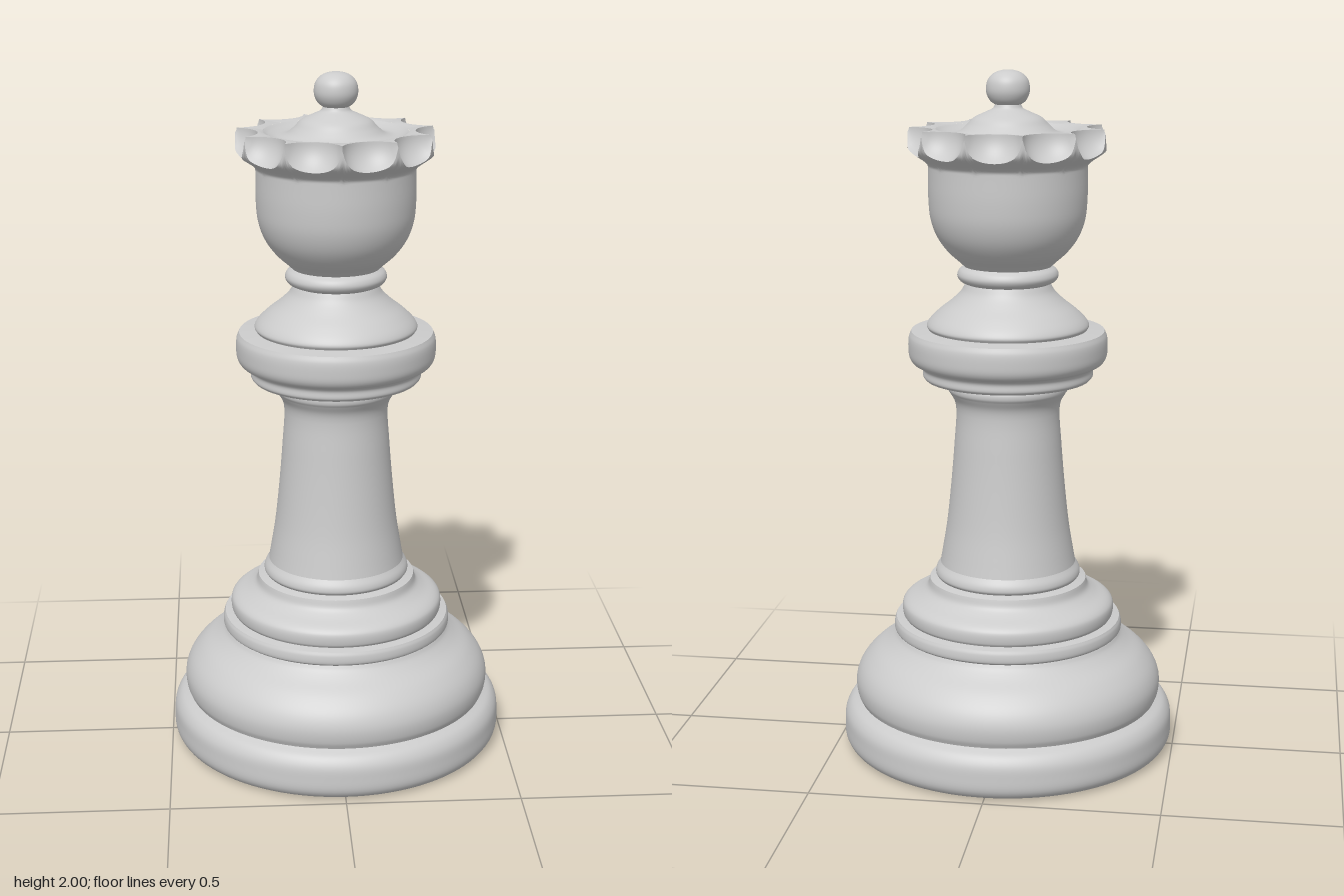
import * as THREE from 'three';
import { mergeGeometries, mergeVertices } from 'three/addons/utils/BufferGeometryUtils.js';

const material = new THREE.MeshStandardMaterial({ color: 0xcccccc });
const POINTS = 11;                     // crown points, one facing +z
const STEP = (Math.PI * 2) / POINTS;
const CROWN_Y = 1.72, RIM_Y = 1.84;
const BITE_R = 0.091, BITE_C = 0.314;  // spherical scallops cut into the rim

// Smooth turned band through [radius, y] points; separate bands meet in crisp edges
function turned(name, pts, smooth = true) {
  let profile = pts.map(([r, y]) => new THREE.Vector2(r, y));
  if (smooth && pts.length > 2) {
    const curve = new THREE.CatmullRomCurve3(pts.map(([r, y]) => new THREE.Vector3(r, y, 0)), false, 'centripetal');
    profile = curve.getPoints((pts.length - 1) * 5).map((p) => new THREE.Vector2(Math.max(p.x, 0), p.y));
  }
  const mesh = new THREE.Mesh(new THREE.LatheGeometry(profile, 96), material);
  mesh.name = name;
  return mesh;
}

// Patch over u (around) and v (up or inward), from a position rule
function patch(nu, nv, rule) {
  const pos = [], index = [];
  for (let j = 0; j <= nv; j++) {
    for (let i = 0; i <= nu; i++) {
      const [r, y, a] = rule(i / nu, j / nv);
      pos.push(r * Math.sin(a), y, r * Math.cos(a));
      if (i < nu && j < nv) {
        const p = j * (nu + 1) + i, q = p + nu + 1;
        index.push(p, p + 1, q, p + 1, q + 1, q);
      }
    }
  }
  const g = new THREE.BufferGeometry();
  g.setAttribute('position', new THREE.Float32BufferAttribute(pos, 3));
  g.setIndex(index);
  return g;
}

// Outer flare of the crown
const flare = (y) => 0.227 + 0.057 * THREE.MathUtils.smoothstep(y, 1.73, 1.785);

// Inner radius of a scallop at height y, phi away from its middle
const bite = (y, phi) => BITE_C * Math.cos(phi)
  - Math.sqrt(Math.max(0, BITE_R ** 2 - (RIM_Y - y) ** 2 - (BITE_C * Math.sin(phi)) ** 2));

// Height at which the scallop breaks through the flare
function splitHeight(phi) {
  let lo = CROWN_Y, hi = RIM_Y;
  for (let n = 0; n < 30; n++) {
    const y = (lo + hi) / 2, r = flare(y);
    const d2 = r * r + BITE_C ** 2 - 2 * r * BITE_C * Math.cos(phi) + (RIM_Y - y) ** 2;
    if (d2 < BITE_R ** 2) hi = y; else lo = y;
  }
  return lo;
}

function crown() {
  const outer = [], scallops = [], top = [];
  for (let k = 0; k < POINTS; k++) {
    const mid = (k + 0.5) * STEP;
    const at = (u) => (u - 0.5) * STEP;
    outer.push(patch(20, 14, (u, v) => {
      const y = THREE.MathUtils.lerp(CROWN_Y, splitHeight(at(u)), v);
      return [flare(y), y, mid + at(u)];
    }));
    scallops.push(patch(20, 10, (u, v) => {
      const s = splitHeight(at(u)), y = THREE.MathUtils.lerp(s, RIM_Y, v);
      return [v === 0 ? flare(s) : bite(y, at(u)), y, mid + at(u)];
    }));
    top.push(patch(20, 3, (u, v) => [
      THREE.MathUtils.lerp(bite(RIM_Y, at(u)), 0.205, v), RIM_Y - 0.004 * v * v, mid + at(u)]));
  }
  const group = new THREE.Group();
  group.name = 'crown';
  const add = (name, parts, weld) => {
    let g = mergeGeometries(parts);
    if (weld) g = mergeVertices(g, 1e-5);
    g.computeVertexNormals();
    const mesh = new THREE.Mesh(g, material);
    mesh.name = name;
    group.add(mesh);
  };
  add('crownFlare', outer, true);
  add('crownScallops', scallops, false);
  add('crownRim', top, true);
  return group;
}

export function createModel() {
  const model = new THREE.Group();
  model.name = 'chessQueen';
  model.add(
    // Foot
    turned('underside', [[0, 0], [0.45, 0]], false),
    turned('footRing', [[0.45, 0], [0.475, 0.008], [0.49, 0.03], [0.492, 0.07], [0.488, 0.105], [0.472, 0.13], [0.445, 0.145]]),
    turned('footBell', [[0.445, 0.145], [0.453, 0.165], [0.455, 0.205], [0.44, 0.245], [0.405, 0.285], [0.36, 0.317], [0.338, 0.337], [0.33, 0.35]]),
    turned('lowerBand', [[0.33, 0.35], [0.338, 0.357], [0.338, 0.38], [0.333, 0.392]]),
    turned('lowerLedge', [[0.333, 0.392], [0.308, 0.396]], false),
    turned('upperStep', [[0.308, 0.396], [0.313, 0.405], [0.313, 0.435], [0.3, 0.45], [0.262, 0.468], [0.24, 0.485], [0.232, 0.51]]),
    turned('upperLedge', [[0.232, 0.51], [0.208, 0.516]], false),
    // Column
    turned('columnFoot', [[0.208, 0.516], [0.214, 0.525], [0.212, 0.54], [0.2, 0.56]]),
    turned('column', [[0.2, 0.56], [0.193, 0.6], [0.18, 0.68], [0.167, 0.8], [0.157, 0.92], [0.151, 1.02], [0.156, 1.05], [0.17, 1.075]]),
    turned('columnLip', [[0.17, 1.075], [0.176, 1.085], [0.176, 1.1], [0.165, 1.113]]),
    // Collar
    turned('collarUnderside', [[0.165, 1.113], [0.24, 1.116]], false),
    turned('collarStep', [[0.24, 1.116], [0.247, 1.125], [0.247, 1.145], [0.256, 1.157], [0.275, 1.165], [0.286, 1.182], [0.289, 1.21], [0.287, 1.24], [0.28, 1.257]]),
    turned('collarLedge', [[0.28, 1.257], [0.23, 1.262]], false),
    turned('collarSlope', [[0.23, 1.262], [0.235, 1.272], [0.228, 1.287], [0.2, 1.315], [0.162, 1.345], [0.135, 1.372], [0.122, 1.395]]),
    turned('neckRing', [[0.122, 1.395], [0.138, 1.403], [0.146, 1.418], [0.141, 1.433], [0.126, 1.445]]),
    // Head
    turned('cup', [[0.126, 1.445], [0.14, 1.458], [0.172, 1.487], [0.203, 1.53], [0.221, 1.58], [0.227, 1.64], [0.227, 1.72]]),
    crown(),
    turned('crownDish', [[0.205, 1.836], [0.19, 1.828], [0.165, 1.822], [0.14, 1.828], [0.118, 1.846], [0.098, 1.866], [0.065, 1.882], [0.043, 1.893], [0.036, 1.905]]),
    turned('finial', [[0.036, 1.903], [0.05, 1.913], [0.06, 1.932], [0.062, 1.95], [0.057, 1.972], [0.042, 1.989], [0.02, 1.998], [0, 2]]),
  );
  return model;
}
